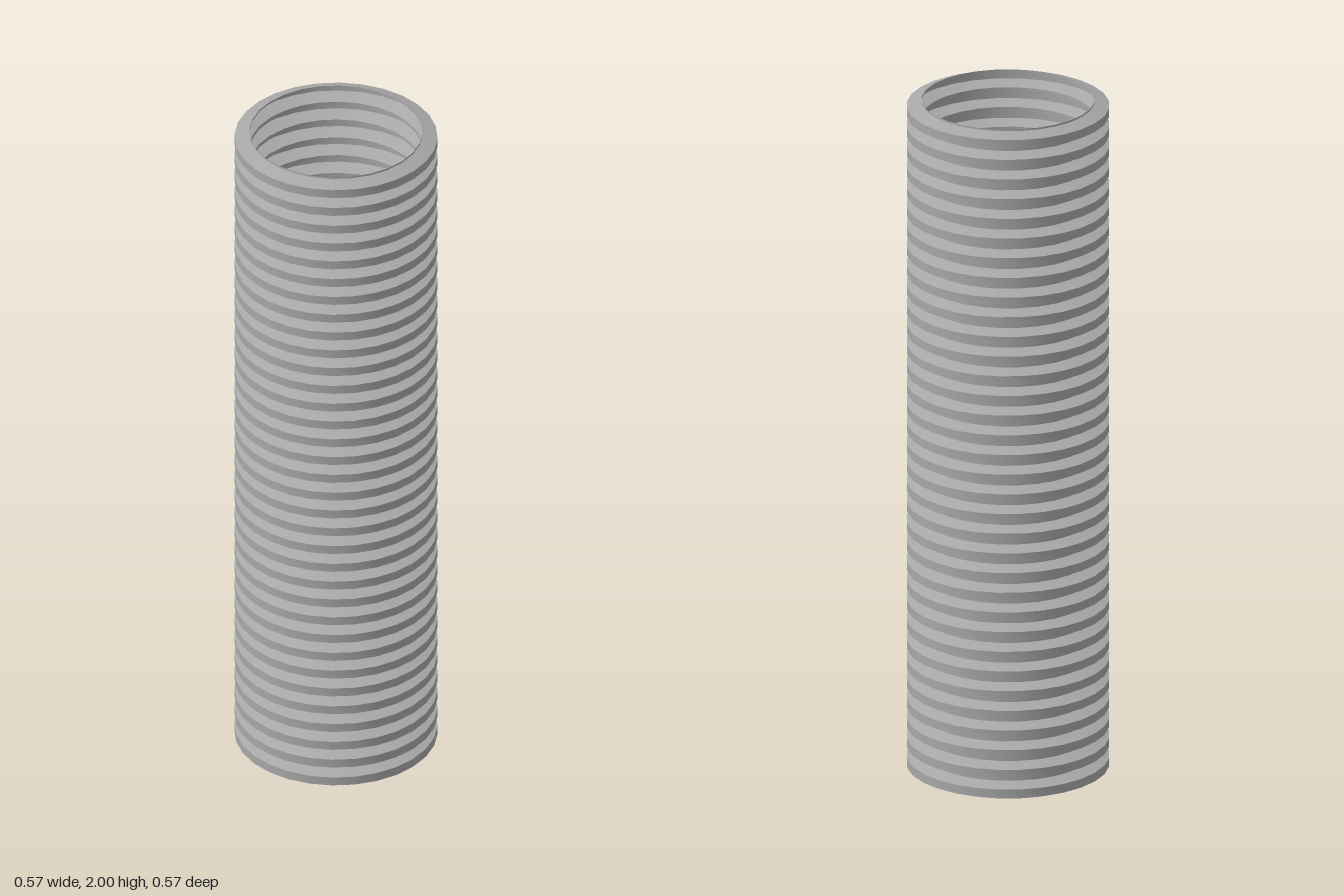
import * as THREE from 'three';
import { toCreasedNormals } from 'three/addons/utils/BufferGeometryUtils.js';

const RIBS = 34, SIDES = 28, HEIGHT = 2;
const VALLEY_R = 0.243, RIB_R = 0.285;

export function createModel() {
  const group = new THREE.Group();
  group.name = 'corrugatedTube';

  const plastic = new THREE.MeshStandardMaterial({ color: 0xa8a8a8, side: THREE.DoubleSide });
  plastic.name = 'grey plastic';

  // Trapezoid rib profile, repeated up the open thin-walled tube
  const pitch = HEIGHT / RIBS;
  const profile = [new THREE.Vector2(VALLEY_R, 0)];
  for (let i = 0; i < RIBS; i++) {
    const y = i * pitch;
    profile.push(
      new THREE.Vector2(VALLEY_R, y + pitch * 0.09),
      new THREE.Vector2(RIB_R, y + pitch * 0.28),
      new THREE.Vector2(RIB_R, y + pitch * 0.72),
      new THREE.Vector2(VALLEY_R, y + pitch * 0.91),
    );
  }
  profile.push(new THREE.Vector2(VALLEY_R, HEIGHT));

  // Smooth around the tube, sharp along the rib edges
  const geometry = toCreasedNormals(new THREE.LatheGeometry(profile, SIDES), Math.PI / 6);
  const tube = new THREE.Mesh(geometry, plastic);
  tube.name = 'ribbedWall';
  group.add(tube);

  return group;
}
